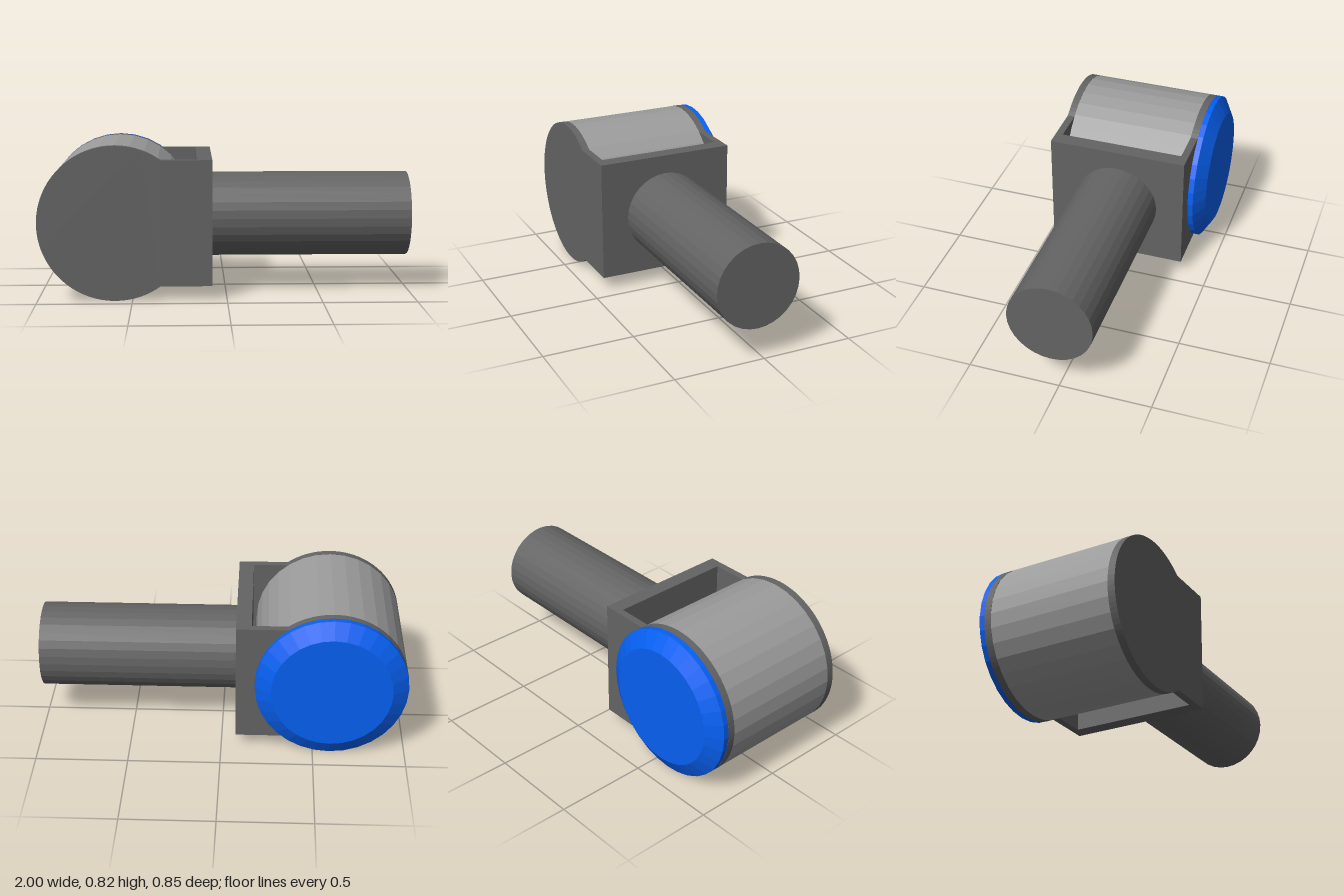
import * as THREE from 'three';

const CX = -0.59, CY = 0.412, R = 0.41;      // drum axis and radius
const TOP = 0.746, BOTTOM = 0.078;           // bracket height range
const WALL_IN = -0.16, WALL_OUT = -0.078;    // bracket end wall
const Z_FRONT = 0.425, Z_BACK = -0.342;      // bracket outer faces
const PLATE = 0.04;

export function createModel() {
  const group = new THREE.Group();
  const paint = (color) => new THREE.MeshStandardMaterial({ color, flatShading: true });
  const darkGrey = paint(0x646464), lightGrey = paint(0x9c9c9c), blue = paint(0x0660f2);

  const add = (name, geometry, material, x, y, z) => {
    const mesh = new THREE.Mesh(geometry, material);
    mesh.name = name;
    mesh.position.set(x, y, z);
    group.add(mesh);
  };

  // Side plates: a disc running into a straight arm
  const a = Math.asin((TOP - CY) / R);
  const outline = new THREE.Shape();
  outline.moveTo(WALL_OUT, BOTTOM);
  outline.lineTo(WALL_OUT, TOP);
  outline.absarc(CX, CY, R, a, Math.PI * 2 - a, false);
  outline.closePath();
  const plate = new THREE.ExtrudeGeometry(outline, { depth: PLATE, bevelEnabled: false, curveSegments: 32 });
  add('frontPlate', plate, darkGrey, 0, 0, Z_FRONT - PLATE);
  add('backPlate', plate, darkGrey, 0, 0, Z_BACK);

  // End wall joining the plates
  const zMid = (Z_FRONT + Z_BACK) / 2;
  const inner = Z_FRONT - Z_BACK - 2 * PLATE;
  add('endWall', new THREE.BoxGeometry(WALL_OUT - WALL_IN, TOP - BOTTOM, inner), darkGrey,
    (WALL_IN + WALL_OUT) / 2, CY, zMid);

  // Drum between the plates
  const drum = new THREE.CylinderGeometry(R, R, inner, 32);
  drum.rotateX(Math.PI / 2);
  add('drum', drum, lightGrey, CX, CY, zMid);

  // Shaft leaving the end wall
  const shaft = new THREE.CylinderGeometry(0.231, 0.231, 1 - WALL_OUT, 32);
  shaft.rotateZ(Math.PI / 2);
  add('shaft', shaft, darkGrey, (1 + WALL_OUT) / 2, CY, zMid);

  // Coloured cap with a chamfered rim, on the back
  const profile = [[0, 0], [R, 0], [R, 0.03], [0.323, 0.083], [0, 0.083]]
    .map(([r, h]) => new THREE.Vector2(r, h));
  const cap = new THREE.LatheGeometry(profile, 32);
  cap.rotateX(-Math.PI / 2);
  add('cap', cap, blue, CX, CY, Z_BACK);

  return group;
}
